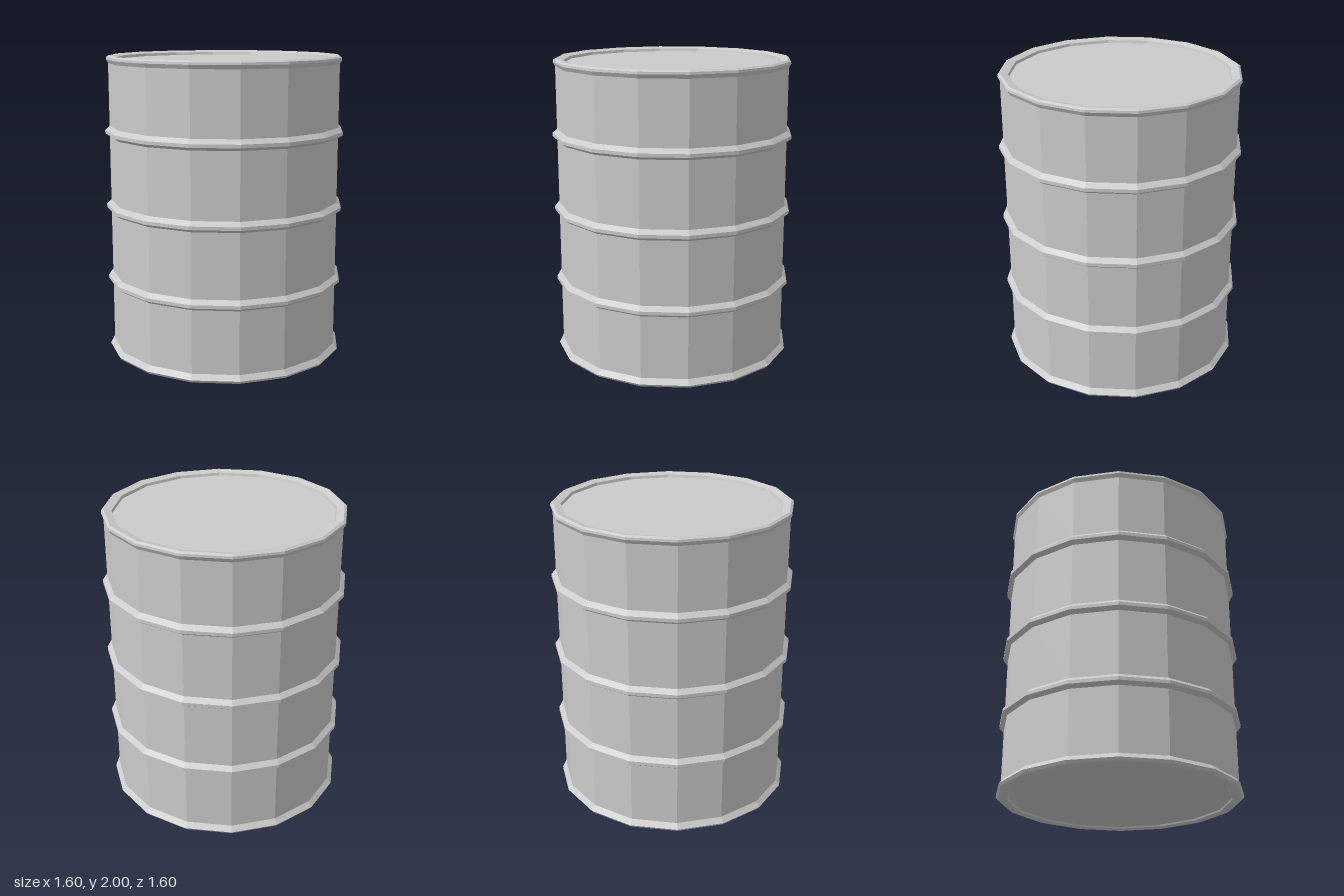
import * as THREE from 'three';

const SIDES = 16;
const R = 0.768; // radius of the plain wall

const material = new THREE.MeshStandardMaterial({ color: 0xcccccc, flatShading: true });

// Revolves a profile of [radius, height] pairs, listed from the bottom outwards and up
function ring(name, profile) {
  const points = profile.map(([r, y]) => new THREE.Vector2(r, y));
  const mesh = new THREE.Mesh(new THREE.LatheGeometry(points, SIDES), material);
  mesh.name = name;
  return mesh;
}

export function createModel() {
  const drum = new THREE.Group();
  drum.name = 'drum';

  // Base: shallow recessed disc and flared foot
  drum.add(ring('bottomDisc', [[0, 0.015], [0.715, 0.015]]));
  drum.add(ring('bottomRim', [[0.715, 0.015], [0.72, 0.005], [0.77, 0], [0.785, 0.008], [0.797, 0.025], [R, 0.058]]));

  // Walls between the three rolling hoops
  const hoops = [0.505, 1.0, 1.5];
  let wallStart = 0.058;
  for (const y of hoops) {
    drum.add(ring('wall', [[R, wallStart], [R, y - 0.03]]));
    drum.add(ring('hoop', [[R, y - 0.03], [0.798, y - 0.01], [0.798, y + 0.012], [R, y + 0.04]]));
    wallStart = y + 0.04;
  }
  drum.add(ring('wall', [[R, wallStart], [R, 1.95]]));

  // Top: rolled rim sloping in to a recessed lid
  drum.add(ring('topRim', [[R, 1.95], [0.782, 1.975], [0.78, 1.99], [0.765, 2], [0.715, 1.988], [0.71, 1.97]]));
  drum.add(ring('lid', [[0.71, 1.97], [0, 1.97]]));

  return drum;
}
